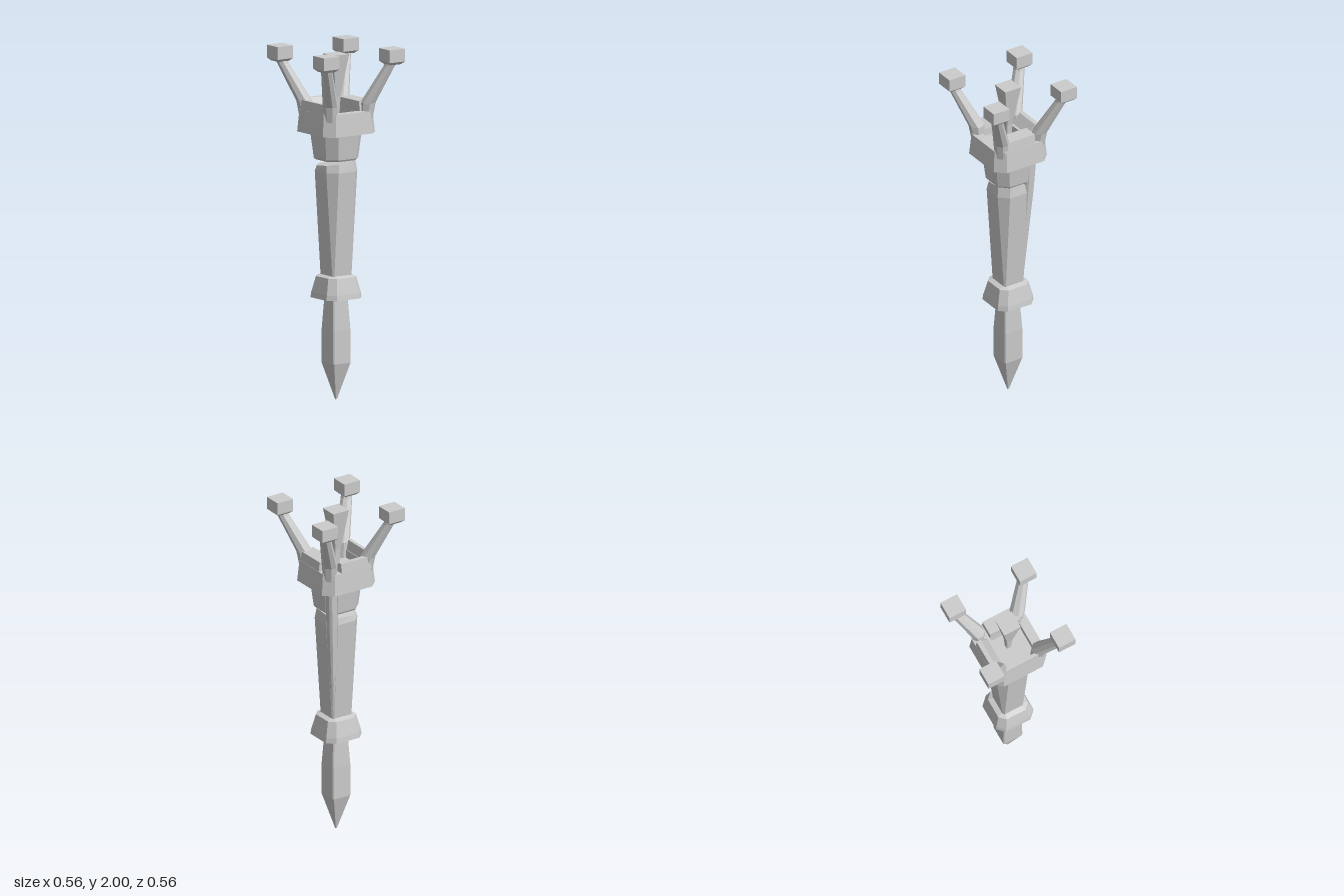
import * as THREE from 'three';

const material = new THREE.MeshStandardMaterial({ color: 0xcccccc, flatShading: true });

// Eight corners of a chamfered rectangle, counter-clockwise from above
function ring(y, x0, x1, z0, z1, c) {
  return [
    [x0 + c, y, z1], [x1 - c, y, z1], [x1, y, z1 - c], [x1, y, z0 + c],
    [x1 - c, y, z0], [x0 + c, y, z0], [x0, y, z0 + c], [x0, y, z1 - c],
  ];
}

// Chamfered square section: height, half width, chamfer, centre
const sq = (y, h, c, x = 0, z = 0) => ring(y, x - h, x + h, z - h, z + h, c);

// Solid through a stack of rings, capped at both ends
function loft(name, rings) {
  const index = [];
  const n = 8;
  for (let r = 0; r < rings.length - 1; r++) {
    for (let i = 0; i < n; i++) {
      const j = (i + 1) % n;
      const a = r * n + i, b = r * n + j;
      index.push(a, b, b + n, a, b + n, a + n);
    }
  }
  const last = (rings.length - 1) * n;
  for (let i = 1; i < n - 1; i++) {
    index.push(0, i + 1, i);
    index.push(last, last + i, last + i + 1);
  }
  const geometry = new THREE.BufferGeometry();
  geometry.setAttribute('position', new THREE.Float32BufferAttribute(rings.flat(2), 3));
  geometry.setIndex(index);
  geometry.computeVertexNormals();
  const mesh = new THREE.Mesh(geometry, material);
  mesh.name = name;
  return mesh;
}

export function createModel() {
  const model = new THREE.Group();
  model.name = 'prongedStaff';

  // Pointed foot and the guard above it
  model.add(loft('footSpike', [
    sq(0, 0.004, 0.001), sq(0.21, 0.061, 0.006), sq(0.4, 0.06, 0.006), sq(0.6, 0.048, 0.006),
  ]));
  model.add(loft('guard', [
    sq(0.58, 0.12, 0.042), sq(0.61, 0.116, 0.04), sq(0.7, 0.095, 0.035), sq(0.71, 0.065, 0.015),
  ]));

  // Widening grip, its top broken off at a slant
  const gripTop = sq(1.345, 0.098, 0.05).map(([x, y, z]) => [x, y + 0.1 * (x + z), z]);
  model.add(loft('grip', [sq(0.7, 0.065, 0.008), sq(1.3, 0.106, 0.05), gripTop]));

  // Corner rib bridging the gap between grip and neck
  model.add(loft('cornerRib', [
    sq(0.7, 0.014, 0.006, 0.048, -0.048), sq(1.3, 0.028, 0.012, 0.08, -0.08),
    sq(1.53, 0.03, 0.012, 0.09, -0.09),
  ]));

  // Neck under the crown
  model.add(loft('neck', [sq(1.365, 0.104, 0.048), sq(1.375, 0.11, 0.05), sq(1.53, 0.126, 0.052)]));

  // Hollow crown with its raised rim on three sides
  model.add(loft('crown', [
    sq(1.52, 0.178, 0.053), sq(1.645, 0.167, 0.05),
    ring(1.645, -0.125, 0.073, -0.075, 0.112, 0.002),
    ring(1.6, -0.122, 0.07, -0.073, 0.11, 0.002),
  ]));
  model.add(loft('leftRim', [
    ring(1.63, 0.073, 0.167, -0.075, 0.13, 0.002), ring(1.7, 0.073, 0.16, -0.075, 0.12, 0.002),
  ]));
  model.add(loft('rightRim', [
    ring(1.63, -0.168, -0.125, -0.11, 0.11, 0.002), ring(1.7, -0.162, -0.142, -0.11, 0.11, 0.002),
  ]));
  model.add(loft('backRim', [
    ring(1.63, -0.13, 0.073, -0.168, -0.078, 0.002), ring(1.7, -0.11, 0.073, -0.161, -0.135, 0.002),
  ]));

  // Flared centre spike standing in the bowl
  model.add(loft('centreSpike', [
    sq(1.59, 0.014, 0.003), sq(1.72, 0.02, 0.004), sq(1.96, 0.053, 0.001),
  ]));

  // Four outward prongs tipped with blocks
  for (const sx of [-1, 1]) {
    for (const sz of [-1, 1]) {
      const at = (y, h, c, d) => sq(y, h, c, sx * d, sz * d);
      const prong = new THREE.Group();
      prong.name = `${sz > 0 ? 'front' : 'back'}${sx > 0 ? 'Left' : 'Right'}Prong`;
      prong.add(loft('prongArm', [
        at(1.6, 0.036, 0.022, 0.12), at(1.69, 0.042, 0.026, 0.128),
        at(1.9, 0.03, 0.017, 0.213), at(1.93, 0.03, 0.017, 0.222),
      ]));
      prong.add(loft('prongTip', [
        at(1.912, 0.036, 0.002, 0.225), at(1.928, 0.053, 0.001, 0.225), at(2, 0.053, 0.001, 0.225),
      ]));
      model.add(prong);
    }
  }
  return model;
}
